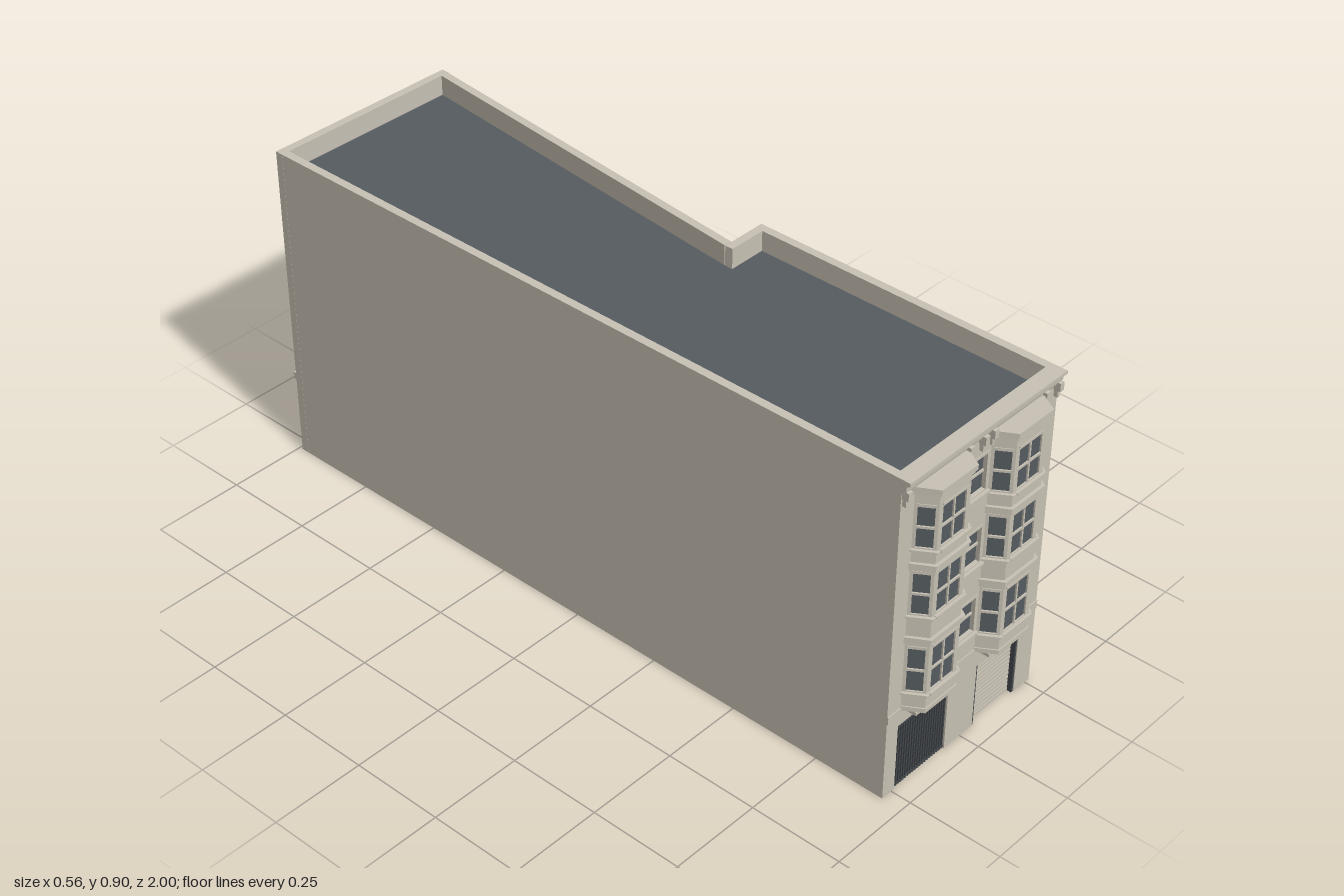
import * as THREE from 'three';

const mat = (name, color, side = THREE.FrontSide) => {
  const m = new THREE.MeshStandardMaterial({ color, side });
  m.name = name;
  return m;
};
const stone = mat('stone', 0xc8c2b4);
const slate = mat('slate', 0x565c61, THREE.DoubleSide);
const iron = mat('iron', 0x43474b);

const H = 0.9, ROOF = 0.845, FRONT = 0.945;
// Footprint corners (x, z), counter-clockwise from the front right-hand street corner
const P = [[-0.282, FRONT], [0.265, FRONT], [0.265, 0.09], [0.16, 0.09], [0.271, -0.982], [-0.282, -0.99]];

function add(parent, name, geo, material) {
  const m = new THREE.Mesh(geo, material);
  m.name = name;
  parent.add(m);
  return m;
}

// Box given by its x, y and z ranges
function box(parent, name, x0, x1, y0, y1, z0, z1, material = stone) {
  const m = add(parent, name, new THREE.BoxGeometry(x1 - x0, y1 - y0, z1 - z0), material);
  m.position.set((x0 + x1) / 2, (y0 + y1) / 2, (z0 + z1) / 2);
  return m;
}

// Wall from a to b: local x runs along it, local +z points outwards.
// Windows are {u, y, w, h, cols, sash}, doors are {u, w, h}, u being the centre.
function wall(parent, name, a, b, { y0 = 0, y1 = H, t = 0.022, trim = 0, windows = [], doors = [] } = {}) {
  const g = new THREE.Group();
  g.name = name;
  g.position.set(a[0], 0, a[1]);
  g.rotation.y = Math.atan2(a[1] - b[1], b[0] - a[0]);
  parent.add(g);
  const len = Math.hypot(b[0] - a[0], b[1] - a[1]);
  const s = new THREE.Shape();
  s.moveTo(0, y0);
  for (const d of doors) {
    s.lineTo(d.u - d.w / 2, y0);
    s.lineTo(d.u - d.w / 2, d.h);
    s.lineTo(d.u + d.w / 2, d.h);
    s.lineTo(d.u + d.w / 2, y0);
  }
  s.lineTo(len - trim, y0);
  s.lineTo(len - trim, y1);
  s.lineTo(0, y1);
  s.closePath();
  for (const w of windows) {
    const l = w.u - w.w / 2, r = w.u + w.w / 2;
    s.holes.push(new THREE.Path([[l, w.y], [l, w.y + w.h], [r, w.y + w.h], [r, w.y]].map(p => new THREE.Vector2(...p))));
  }
  const geo = new THREE.ExtrudeGeometry(s, { depth: t, bevelEnabled: false });
  geo.translate(0, 0, -t);
  add(g, name + 'Surface', geo, stone);
  windows.forEach(w => glaze(g, w, t * 0.5));
  return { g, len };
}

// Recessed glass with sash bars, a sill and a thin lintel
function glaze(g, { u, y, w, h, cols = 1, sash = true, sill = 0.009 }, inset) {
  const l = u - w / 2, r = u + w / 2;
  box(g, 'glass', l, r, y, y + h, -inset - 0.003, -inset, slate);
  if (sash) box(g, 'sashRail', l, r, y + h / 2 - 0.003, y + h / 2 + 0.003, -inset, -inset + 0.004);
  for (let i = 1; i < cols; i++) {
    const x = l + (w * i) / cols;
    box(g, 'mullion', x - 0.0025, x + 0.0025, y, y + h, -inset, -inset + 0.004);
  }
  box(g, 'sill', l - sill, r + sill, y - 0.009, y - 0.003, -0.002, 0.008);
  box(g, 'lintel', l - 0.003, r + 0.003, y + h + 0.006, y + h + 0.009, -0.002, 0.002);
}

// Recessed door leaf with one dark jamb
function doorLeaf(g, { u, w, h }) {
  box(g, 'doorLeaf', u - w / 2, u + w / 2, 0, h, -0.022, -0.017);
  box(g, 'doorJamb', u - w / 2, u - w / 2 + 0.004, 0, h, -0.018, 0.001, iron);
}

// Horizontal slab following the bay's plan, grown by e
function baySlab(parent, name, y0, y1, e) {
  const a = 0.054 + e * 0.7, b = 0.083 + e, d = 0.045 + e;
  const s = new THREE.Shape([[-b, 0.005], [-b, 0], [-a, -d], [a, -d], [b, 0], [b, 0.005]].map(p => new THREE.Vector2(...p)));
  const geo = new THREE.ExtrudeGeometry(s, { depth: y1 - y0, bevelEnabled: false });
  geo.rotateX(-Math.PI / 2);
  add(parent, name, geo, stone).position.y = y0;
}

// Three-sided, three-storey bay
function bay(parent, cx) {
  const g = new THREE.Group();
  g.name = 'bayWindow';
  g.position.set(cx, 0, FRONT);
  parent.add(g);
  const pts = [[-0.083, 0], [-0.054, 0.045], [0.054, 0.045], [0.083, 0]];
  const rows = [[0.293, 0.12], [0.512, 0.111], [0.695, 0.108]];
  for (let i = 0; i < 3; i++) {
    const mid = i === 1;
    const len = Math.hypot(pts[i + 1][0] - pts[i][0], pts[i + 1][1] - pts[i][1]);
    const windows = rows.map(([y, h]) => ({ u: len / 2, y, h, w: mid ? 0.08 : 0.038, cols: mid ? 2 : 1, sill: 0.007 }));
    wall(g, 'bayFace', pts[i], pts[i + 1], { y0: 0.24, y1: 0.85, t: 0.008, windows });
  }
  // Mouldings, sills, cap and corbel
  for (const y of [0.43, 0.635]) {
    baySlab(g, 'bayBelt', y, y + 0.02, 0.005);
    baySlab(g, 'bayBeltLip', y + 0.016, y + 0.02, 0.008);
  }
  for (const [y] of rows) baySlab(g, 'baySill', y - 0.009, y - 0.004, 0.007);
  baySlab(g, 'bayNeck', 0.838, 0.848, 0.005);
  baySlab(g, 'bayCap', 0.848, 0.861, 0.01);
  baySlab(g, 'bayFoot', 0.236, 0.248, 0.003);
  baySlab(g, 'bayCorbel', 0.228, 0.236, -0.008);
  for (const s of [-1, 1]) box(g, 'bayBracket', s * 0.05 - 0.013, s * 0.05 + 0.013, 0.22, 0.229, 0, 0.028);
}

export function createModel() {
  const model = new THREE.Group();
  model.name = 'building';
  const rowY = [0.302, 0.502, 0.704];

  // Street front
  const fu = x => x - P[0][0];
  const gate = { u: fu(-0.149), w: 0.182, h: 0.19 }, shutter = { u: fu(0.126), w: 0.159, h: 0.183 };
  const front = wall(model, 'frontWall', P[0], P[1], {
    windows: rowY.map(y => ({ u: fu(-0.008), y, w: 0.057, h: 0.096 })), doors: [gate, shutter],
  });
  box(front.g, 'frontBand', 0, front.len, 0.222, 0.243, -0.002, 0.003);

  // Barred gate
  const gl = gate.u - gate.w / 2, gr = gate.u + gate.w / 2, bars = 21;
  for (let i = 0; i < bars; i++) {
    const x = gl + 0.003 + ((gate.w - 0.006) * i) / (bars - 1);
    box(front.g, 'gateBar', x - 0.0022, x + 0.0022, 0, 0.19, -0.012, -0.004, iron);
  }
  for (const y of [0.004, 0.178, 0.186]) box(front.g, 'gateRail', gl, gr, y, y + 0.004, -0.011, -0.003, iron);

  // Roller shutter with slats and dark guides
  const sl = shutter.u - shutter.w / 2, sr = shutter.u + shutter.w / 2;
  box(front.g, 'shutter', sl, sr, 0, shutter.h, -0.021, -0.016);
  for (let i = 0; i < 15; i++) box(front.g, 'shutterSlat', sl, sr, i * 0.012 + 0.002, i * 0.012 + 0.01, -0.017, -0.014);
  box(front.g, 'shutterGuide', sl, sl + 0.006, 0, shutter.h, -0.018, -0.002, iron);
  box(front.g, 'shutterGuide', sr - 0.006, sr, 0, shutter.h, -0.018, -0.002, iron);

  bay(model, -0.152);
  bay(model, 0.114);

  // Cornice and brackets
  const profile = new THREE.Shape([[-0.002, 0.862], [0.006, 0.862], [0.008, 0.868], [0.012, 0.872], [0.013, 0.886],
    [0.022, 0.892], [0.022, H], [-0.002, H]].map(p => new THREE.Vector2(...p)));
  const cornice = new THREE.ExtrudeGeometry(profile, { depth: front.len, bevelEnabled: false });
  cornice.rotateY(-Math.PI / 2);
  cornice.translate(front.len, 0, 0);
  add(front.g, 'cornice', cornice, stone);
  for (const x of [-0.273, -0.062, -0.01, 0.022, 0.207, 0.256]) {
    box(front.g, 'corniceBracket', fu(x) - 0.007, fu(x) + 0.007, 0.848, 0.87, -0.002, 0.018);
    box(front.g, 'corniceBracketFoot', fu(x) - 0.004, fu(x) + 0.004, 0.828, 0.848, -0.002, 0.01);
  }

  // Plain side walls
  wall(model, 'rightFrontWall', P[1], P[2]);
  wall(model, 'leftWall', P[5], P[0]);

  // Short return wall with a door
  const returnDoor = { u: 0.052, w: 0.06, h: 0.15 };
  const ret = wall(model, 'returnWall', P[2], [P[3][0] - 0.022, P[3][1]], { doors: [returnDoor] });
  doorLeaf(ret.g, returnDoor);

  // Slanted side wall
  const su = z => (0.09 - z) * 1.0053;
  const zs = [-0.056, -0.216, -0.37, -0.53, -0.687, -0.842];
  const slantWindows = zs.flatMap(z => rowY.map(y => ({ u: su(z), y, w: 0.05, h: 0.096 })));
  for (const i of [0, 1, 4, 5]) slantWindows.push({ u: su(zs[i]), y: 0.138, w: 0.068, h: 0.072, sash: false });
  const sideDoor = { u: su(-0.453), w: 0.07, h: 0.153 };
  const slant = wall(model, 'slantedWall', P[3], P[4], { trim: 0.004, windows: slantWindows, doors: [sideDoor] });
  doorLeaf(slant.g, sideDoor);

  // Rear wall
  const bu = x => P[4][0] - x;
  const xs = [0.145, 0, -0.145];
  const backWindows = xs.flatMap(x => rowY.map(y => ({ u: bu(x), y, w: 0.062, h: 0.096 })));
  for (const i of [0, 2]) backWindows.push({ u: bu(xs[i]), y: 0.138, w: 0.07, h: 0.072, sash: false });
  const backDoor = { u: bu(0), w: 0.072, h: 0.153 };
  const back = wall(model, 'backWall', P[4], P[5], { windows: backWindows, doors: [backDoor] });
  doorLeaf(back.g, backDoor);

  // Projecting string course round the rear
  for (const [w, l0, l1] of [[ret, 0, 0.105], [slant, 0, slant.len + 0.009], [back, -0.008, back.len]]) {
    box(w.g, 'stringCourse', l0, l1, 0.222, 0.236, -0.002, 0.007);
    box(w.g, 'stringCourseLip', l0, l1, 0.234, 0.242, -0.002, 0.01);
  }

  // Flat roof sunk behind the parapet
  const roof = new THREE.ShapeGeometry(new THREE.Shape(P.map(([x, z]) => new THREE.Vector2(x * 0.99, -z * 0.995))));
  roof.rotateX(-Math.PI / 2);
  add(model, 'roof', roof, slate).position.y = ROOF;

  return model;
}
